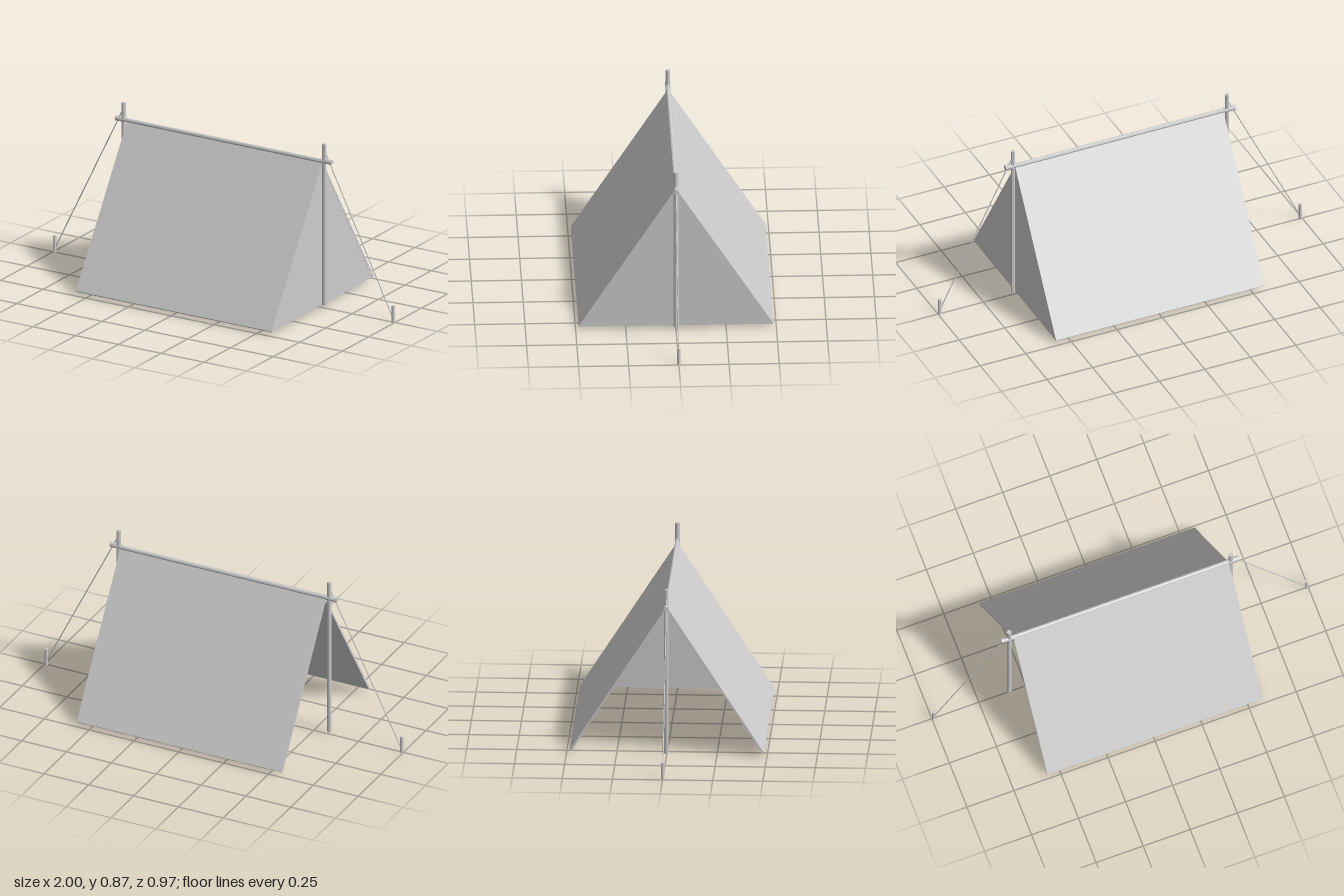
import * as THREE from 'three';

export function createModel() {
  const model = new THREE.Group();
  const grey = new THREE.MeshStandardMaterial({ color: 0xcccccc, flatShading: true });
  grey.name = 'light grey';

  const add = (name, geometry) => {
    const mesh = new THREE.Mesh(geometry, grey);
    mesh.name = name;
    model.add(mesh);
    return mesh;
  };

  // Straight round bar between two points
  const bar = (name, from, to, radius, sides = 8) => {
    const a = new THREE.Vector3(...from);
    const b = new THREE.Vector3(...to);
    const dir = b.clone().sub(a);
    const mesh = add(name, new THREE.CylinderGeometry(radius, radius, dir.length(), sides));
    mesh.position.copy(a).add(b).multiplyScalar(0.5);
    mesh.quaternion.setFromUnitVectors(new THREE.Vector3(0, 1, 0), dir.normalize());
  };

  // Outline across the tent, extruded along x
  const sheet = (name, points, x0, x1) => {
    const shape = new THREE.Shape(points.map(p => new THREE.Vector2(...p)));
    const geometry = new THREE.ExtrudeGeometry(shape, { depth: x1 - x0, bevelEnabled: false });
    geometry.rotateY(Math.PI / 2).translate(x0, 0, 0);
    add(name, geometry);
  };

  // Sloping canvas, folded over the ridge
  sheet('roofCanvas', [
    [0.485, 0.02], [0, 0.772], [-0.485, 0.02],
    [-0.477, 0.013], [0, 0.754], [0.477, 0.013],
  ], -0.567, 0.577);

  // Canvas closing the left end; the right end stays open
  sheet('endCanvas', [[0.477, 0.016], [0, 0.758], [-0.477, 0.016]], 0.567, 0.576);

  // Ridge pole with thicker ends
  bar('ridgePole', [-0.63, 0.777, 0], [0.63, 0.774, 0], 0.011);

  for (const side of [-1, 1]) {
    bar('ridgeEnd', [side * 0.572, 0.777, 0], [side * 0.632, 0.777, 0], 0.0135);
    bar('uprightPole', [side * 0.588, 0.016, 0], [side * 0.588, 0.867, 0], 0.0115);
    bar('guyRope', [side * 0.588, 0.835, 0], [side * 0.99, 0.02, 0], 0.003, 6);
    bar('groundStake', [side * 0.991, 0, 0], [side * 0.991, 0.088, 0], 0.009);
  }
  return model;
}
